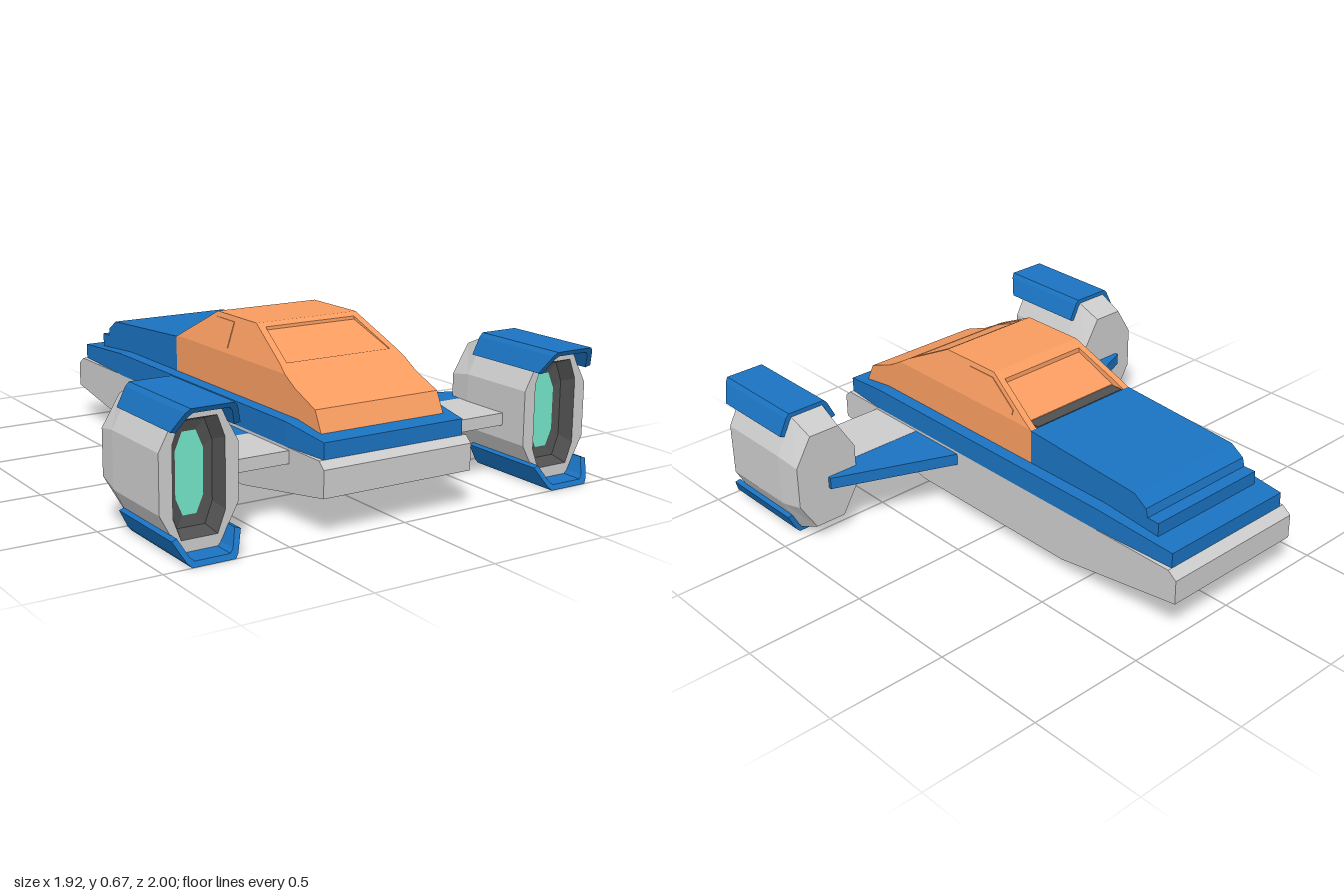
import * as THREE from 'three';

const mat = (color) => new THREE.MeshStandardMaterial({ color, flatShading: true });

// Skin between equal-length counter-clockwise sections of [x, y, z], with optional end caps
function loft(sections, capStart = true, capEnd = true) {
  const pos = [];
  const n = sections[0].length;
  for (let s = 0; s < sections.length - 1; s++) {
    const a = sections[s], b = sections[s + 1];
    for (let i = 0; i < n; i++) {
      const j = (i + 1) % n;
      pos.push(...a[i], ...a[j], ...b[j], ...a[i], ...b[j], ...b[i]);
    }
  }
  const cap = (sec, flip) => {
    const pts = sec.map(([x, y]) => new THREE.Vector2(x, y));
    for (const [i, j, k] of THREE.ShapeUtils.triangulateShape(pts, [])) {
      pos.push(...sec[i], ...sec[flip ? k : j], ...sec[flip ? j : k]);
    }
  };
  if (capStart) cap(sections[0], true);
  if (capEnd) cap(sections[sections.length - 1], false);
  const g = new THREE.BufferGeometry();
  g.setAttribute('position', new THREE.Float32BufferAttribute(pos, 3));
  g.computeVertexNormals();
  return g;
}

// Side profile of [z, y] points extruded across x
function sideExtrude(profile, x0, x1) {
  const shape = new THREE.Shape(profile.map(([z, y]) => new THREE.Vector2(-z, y)));
  const g = new THREE.ExtrudeGeometry(shape, { depth: x1 - x0, bevelEnabled: false });
  return g.rotateY(Math.PI / 2).translate(x0, 0, 0);
}

// Tall octagon: a/b are half width and height, c/d the lengths of the half flats
const octagon = (a, b, c, d, z) =>
  [[a, -d], [a, d], [c, b], [-c, b], [-a, d], [-a, -d], [-c, -b], [c, -b]].map(([x, y]) => [x, y, z]);

export function createModel() {
  const model = new THREE.Group();
  const grey = mat(0xcccccc), blue = mat(0x1a72c0), orange = mat(0xf79c60);
  const dark = mat(0x505050), green = mat(0x72e6c8);
  const add = (parent, name, geometry, material) => {
    const m = new THREE.Mesh(geometry, material);
    m.name = name;
    parent.add(m);
    return m;
  };

  const fuselage = new THREE.Group();
  fuselage.name = 'fuselage';
  fuselage.position.x = -0.03;
  model.add(fuselage);

  // Lower hull with raked ends
  add(fuselage, 'hull', sideExtrude([
    [1, 0.155], [1, 0.26], [0.97, 0.287], [-0.96, 0.287], [-1, 0.257],
    [-1, 0.155], [-0.4, 0.06], [0.45, 0.06],
  ], -0.33, 0.33), grey);

  // Deck, narrowing and dropping at both ends
  const deck = [[-0.96, 0.31, 0.35], [-0.58, 0.33, 0.38], [0.75, 0.33, 0.38], [0.97, 0.31, 0.35]];
  add(fuselage, 'deck', loft(deck.map(([z, w, y]) =>
    [[-w, 0.285, z], [w, 0.285, z], [w, y, z], [-w, y, z]])), blue);

  // Rear hood with stepped tail
  add(fuselage, 'rearHood', sideExtrude([
    [-0.165, 0.35], [-0.165, 0.525], [-0.73, 0.49], [-0.79, 0.45], [-0.80, 0.415],
    [-0.855, 0.415], [-0.855, 0.35],
  ], -0.275, 0.275), blue);

  // Cabin: rows of z, roof height and depth of the recessed windscreens
  const cabin = [
    [-0.165, 0.525, 0.005], [-0.11, 0.555, 0.03], [-0.109, 0.5555, 0.025], [0.059, 0.647, 0.018],
    [0.06, 0.648, 0], [0.1, 0.67, 0], [0.39, 0.67, 0], [0.415, 0.657, 0], [0.416, 0.6565, 0.012],
    [0.61, 0.56, 0.003], [0.612, 0.559, 0], [0.66, 0.53, 0], [0.73, 0.49, 0], [0.86, 0.44, 0], [0.9, 0.36, 0],
  ];
  add(fuselage, 'cabin', loft(cabin.map(([z, y, depth]) => {
    const w = 0.275, shoulder = Math.min(y, 0.53);
    const t = w - (y - shoulder) * 0.32, i = t - 0.03, low = y - depth;
    return [[-w, 0.355], [w, 0.355], [w, shoulder], [t, y], [i, y], [i, low],
      [-i, low], [-i, y], [-t, y], [-w, shoulder]].map(([px, py]) => [px, py, z]);
  }), true, false), orange);

  // Dark sill under the rear windscreen
  const sill = add(fuselage, 'rearWindowSill', new THREE.BoxGeometry(0.47, 0.01, 0.054), dark);
  sill.position.set(0, 0.523, -0.137);

  // Side windows following the lean of the cabin
  for (const side of [-1, 1]) {
    const x = side * 0.272;
    const g = sideExtrude([[0.24, 0.55], [0.24, 0.65], [0.1, 0.65], [-0.05, 0.568], [-0.05, 0.55]],
      x - 0.006, x + 0.006);
    const p = g.attributes.position;
    for (let i = 0; i < p.count; i++) p.setX(i, p.getX(i) - side * (p.getY(i) - 0.53) * 0.32);
    g.computeVertexNormals();
    add(fuselage, side > 0 ? 'leftWindow' : 'rightWindow', g, orange);
  }

  for (const side of [-1, 1]) {
    const label = side > 0 ? 'left' : 'right';

    // Swept fin and the strut in front of it
    const fin = new THREE.Shape([[0.32, -0.225], [0.83, -0.43], [0.83, -0.5], [0.32, -0.5]]
      .map(([x, y]) => new THREE.Vector2(side * x, y)));
    const finGeometry = new THREE.ExtrudeGeometry(fin, { depth: 0.05, bevelEnabled: false });
    add(fuselage, label + 'Fin', finGeometry.rotateX(-Math.PI / 2).translate(0, 0.226, 0), blue);
    const strut = add(fuselage, label + 'Strut', new THREE.BoxGeometry(0.46, 0.05, 0.275), grey);
    strut.position.set(side * 0.53, 0.252, 0.6375);

    const engine = new THREE.Group();
    engine.name = label + 'Engine';
    engine.position.set(side * 0.803, 0.28, 0);
    model.add(engine);

    // Casing with a bevelled back and a rim around the open front
    const mouth = octagon(0.103, 0.212, 0.072, 0.13, 0.9);
    add(engine, 'casing', loft([
      octagon(0.142, 0.21, 0.068, 0.09, 0.445),
      octagon(0.155, 0.258, 0.075, 0.11, 0.555),
      octagon(0.155, 0.258, 0.075, 0.11, 0.9),
      mouth,
    ], true, false), grey);

    // Recessed intake, facing inward
    const core = octagon(0.055, 0.15, 0.027, 0.085, 0.83);
    add(engine, 'intake', loft([mouth, octagon(0.085, 0.19, 0.055, 0.11, 0.84), core], false, false), dark);
    const lens = new THREE.Shape(core.map(([x, y]) => new THREE.Vector2(x, y)));
    add(engine, 'lens', new THREE.ShapeGeometry(lens), green).position.z = 0.83;

    // Raked guards above and below
    const half = [[0.135, 0.19], [0.1, 0.26], [0.085, 0.276]];
    const inner = [[0.07, 0.257], [0.085, 0.243], [0.113, 0.183]];
    const mirror = (pts) => pts.map(([x, y]) => [-x, y]).reverse();
    const ring = [...half, ...mirror(half), ...mirror(inner), ...inner];
    const guard = loft([
      ring.map(([x, y]) => [x, y, 0.555]),
      ring.map(([x, y]) => [x, y, 1 - (0.276 - y) * 0.6]),
    ]);
    add(engine, 'upperGuard', guard, blue);
    add(engine, 'lowerGuard', guard, blue).rotation.z = Math.PI;
  }

  return model;
}
